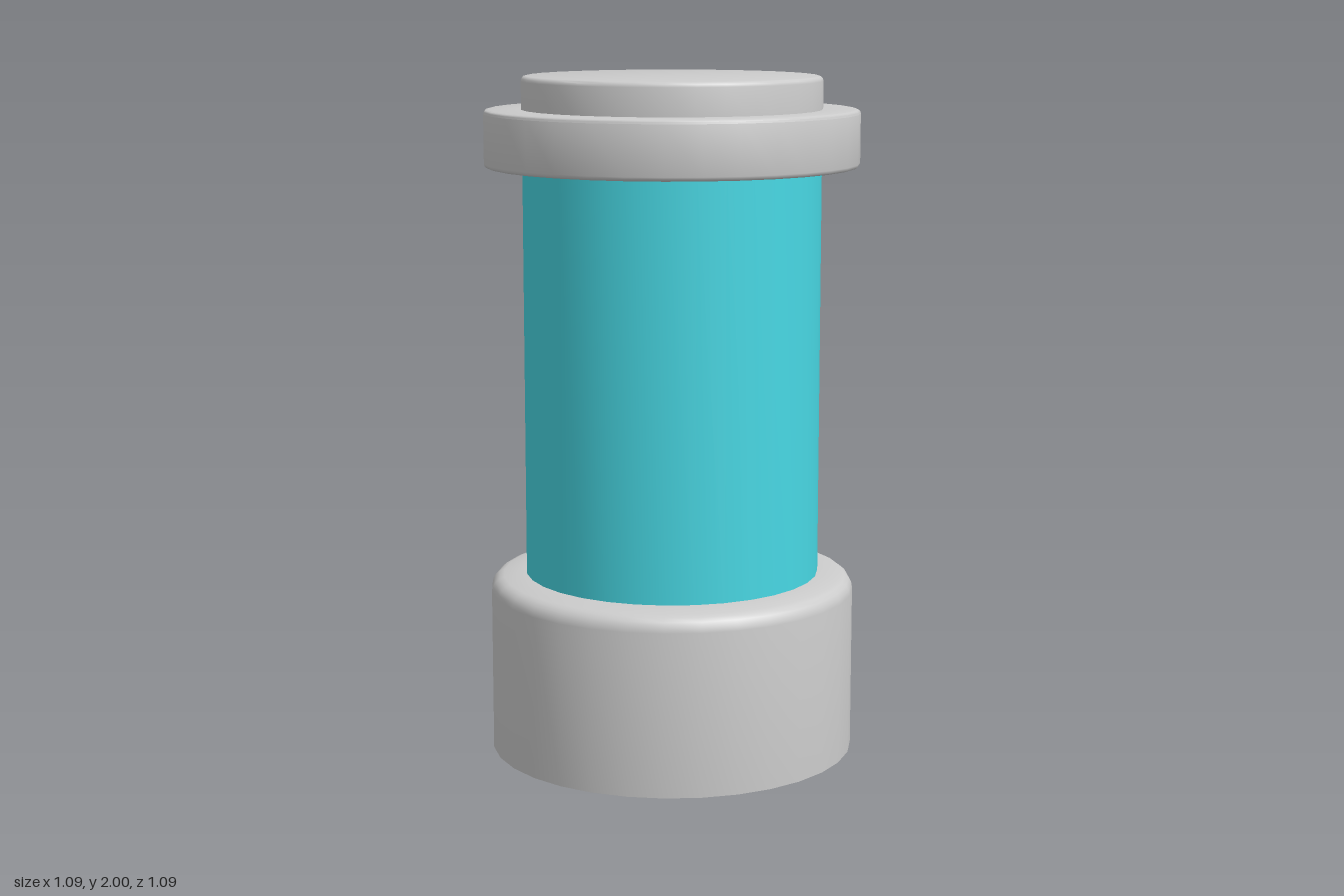
import * as THREE from 'three';
import { toCreasedNormals } from 'three/addons/utils/BufferGeometryUtils.js';

const SIDES = 32;

// Quarter-circle of profile points; angles in degrees
function corner(r, y, radius, from, to, steps = 3) {
  const points = [];
  for (let i = 0; i <= steps; i++) {
    const a = THREE.MathUtils.degToRad(from + ((to - from) * i) / steps);
    points.push([r + radius * Math.cos(a), y + radius * Math.sin(a)]);
  }
  return points;
}

// Turned part from a profile of [radius, height] running bottom to top
function turned(name, profile, color = 0xcccccc) {
  const points = profile.map(([r, y]) => new THREE.Vector2(r, y));
  const geometry = toCreasedNormals(new THREE.LatheGeometry(points, SIDES), 0.6);
  const mesh = new THREE.Mesh(geometry, new THREE.MeshStandardMaterial({ color }));
  mesh.name = name;
  return mesh;
}

export function createModel() {
  const group = new THREE.Group();
  group.name = 'canister';

  // Heavy base: shallow tapered underside, rounded shoulder
  group.add(turned('base', [
    [0, 0], [0.44, 0], [0.537, 0.015],
    ...corner(0.492, 0.492, 0.045, 0, 80, 4),
    [0.435, 0.545], [0.42, 0.545],
  ]));

  // Coloured body tube
  group.add(turned('body', [[0.433, 0.5], [0.433, 1.78]], 0x48d8e4));

  // Collar with small rounded edges
  group.add(turned('collar', [
    [0.42, 1.74],
    ...corner(0.531, 1.752, 0.012, -90, 0),
    ...corner(0.531, 1.893, 0.012, 0, 90),
    [0.42, 1.905],
  ]));

  // Lid disc on top
  group.add(turned('lid', [
    [0.435, 1.88],
    ...corner(0.42, 1.985, 0.015, 0, 90),
    [0, 2],
  ]));

  return group;
}
